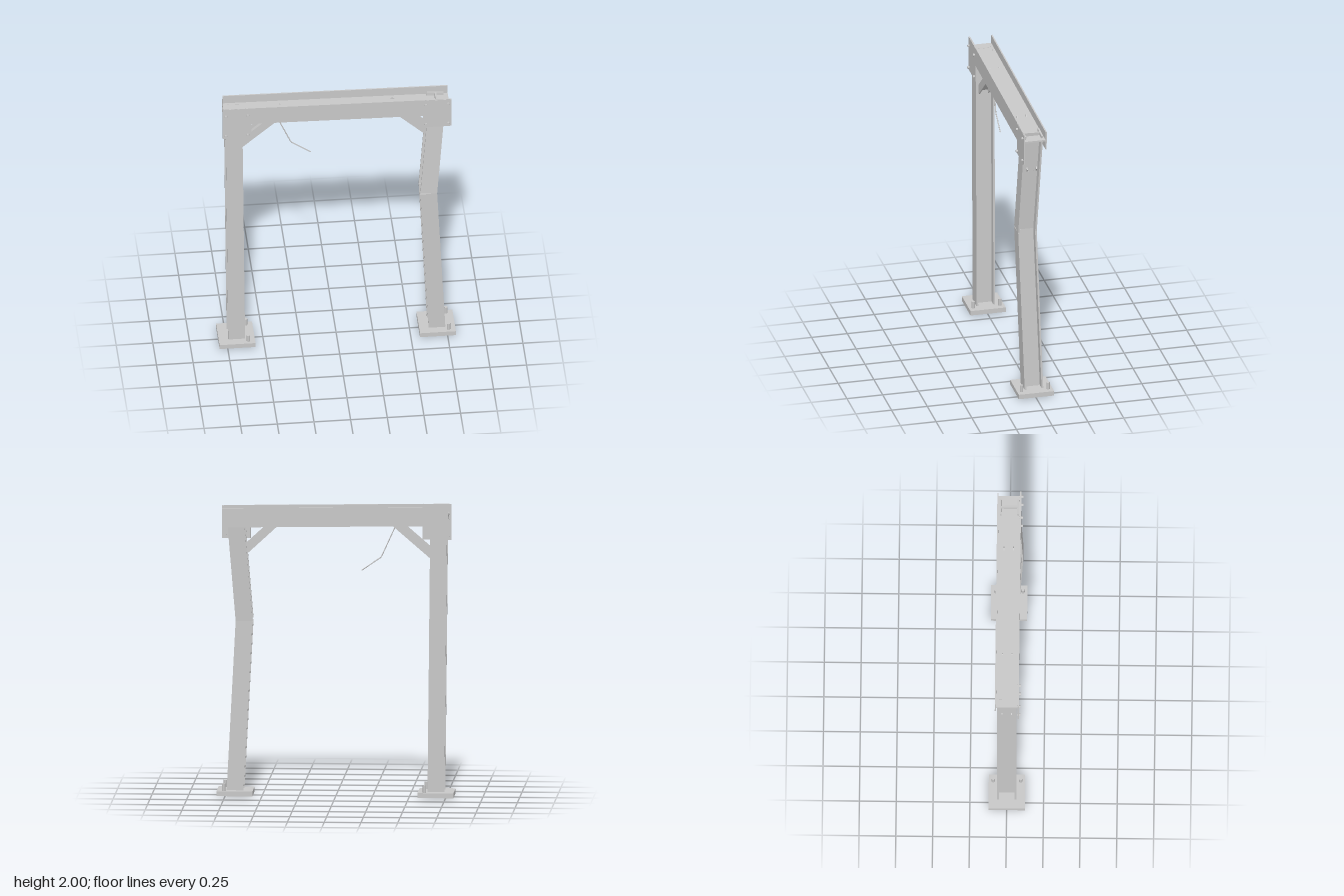
import * as THREE from 'three';

const v = (x, y, z = 0) => new THREE.Vector3(x, y, z);

export function createModel() {
  const steel = new THREE.MeshStandardMaterial({ color: 0xc8c8c8 });
  steel.name = 'light steel grey';
  const model = new THREE.Group();
  model.name = 'damagedSteelFrame';

  function add(name, geometry, x = 0, y = 0, z = 0) {
    const mesh = new THREE.Mesh(geometry, steel);
    mesh.name = name;
    mesh.position.set(x, y, z);
    model.add(mesh);
    return mesh;
  }

  // I-section from a to b: flanges of the given width face front and back, joined by a web
  function iBeam(name, a, b, width, depth, flange, web) {
    const w = width / 2, d = depth / 2, t = web / 2, i = d - flange;
    const shape = new THREE.Shape([
      [-w, -d], [w, -d], [w, -i], [t, -i], [t, i], [w, i],
      [w, d], [-w, d], [-w, i], [-t, i], [-t, -i], [-w, -i],
    ].map(([x, y]) => new THREE.Vector2(x, y)));
    const dir = b.clone().sub(a);
    const geometry = new THREE.ExtrudeGeometry(shape, { depth: dir.length(), bevelEnabled: false });
    dir.normalize();
    const depthAxis = v(0, 0, 1).addScaledVector(dir, -dir.z).normalize();
    const widthAxis = depthAxis.clone().cross(dir);
    geometry.applyMatrix4(new THREE.Matrix4().makeBasis(widthAxis, depthAxis, dir));
    add(name, geometry, a.x, a.y, a.z);
  }

  // Columns: one leaning, one buckled in two pieces with an open crack at the kink
  const column = (name, a, b) => iBeam(name, a, b, 0.114, 0.13, 0.012, 0.012);
  const kink = v(0.623, 1.198, 0.032);
  column('rightColumn', v(-0.684, 0.014), v(-0.703, 1.94));
  column('leftColumnLower', v(0.684, 0.005), kink);
  column('leftColumnUpper', kink, v(0.683, 1.942, 0.002));

  // Sagging cross beam lying on its side, with a trough above the web
  iBeam('crossBeam', v(-0.769, 1.934), v(0.768, 1.911), 0.131, 0.162, 0.009, 0.012);

  // Knee braces
  const brace = (name, a, b) => iBeam(name, a, b, 0.056, 0.072, 0.007, 0.007);
  brace('rightBrace', v(-0.697, 1.63), v(-0.363, 1.918));
  brace('leftBrace', v(0.663, 1.642), v(0.366, 1.916));

  // Base plates with the two remaining anchor bolts each
  for (const [side, x, boltX] of [['right', -0.684, -0.608], ['left', 0.683, 0.758]]) {
    add(side + 'BasePlate', new THREE.BoxGeometry(0.245, 0.033, 0.247), x, 0.0245, 0);
    for (const z of [-0.093, 0.093]) {
      add(side + 'AnchorBolt', new THREE.CylinderGeometry(0.012, 0.012, 0.06, 8), boltX, 0.06, z);
    }
  }

  // Front connection plates with four bolts each
  for (const [side, x, top, boltXs] of [
    ['right', -0.683, 1.997, [-0.76, -0.61]],
    ['left', 0.682, 1.974, [0.606, 0.757]],
  ]) {
    const height = top - 1.752;
    add(side + 'GussetPlate', new THREE.BoxGeometry(0.195, height, 0.01), x, 1.752 + height / 2, 0.0775);
    for (const bx of boltXs) for (const by of [1.777, 1.94]) {
      const bolt = add(side + 'GussetBolt', new THREE.CylinderGeometry(0.01, 0.01, 0.026, 8), bx, by, 0.082);
      bolt.rotation.x = Math.PI / 2;
    }
  }

  // Loose wire hanging under the beam
  const wire = new THREE.CurvePath();
  const points = [v(-0.41, 1.865), v(-0.308, 1.64, 0.01), v(-0.175, 1.548, 0.01)];
  for (let i = 0; i < 2; i++) wire.add(new THREE.LineCurve3(points[i], points[i + 1]));
  add('hangingWire', new THREE.TubeGeometry(wire, 24, 0.004, 6));

  return model;
}
